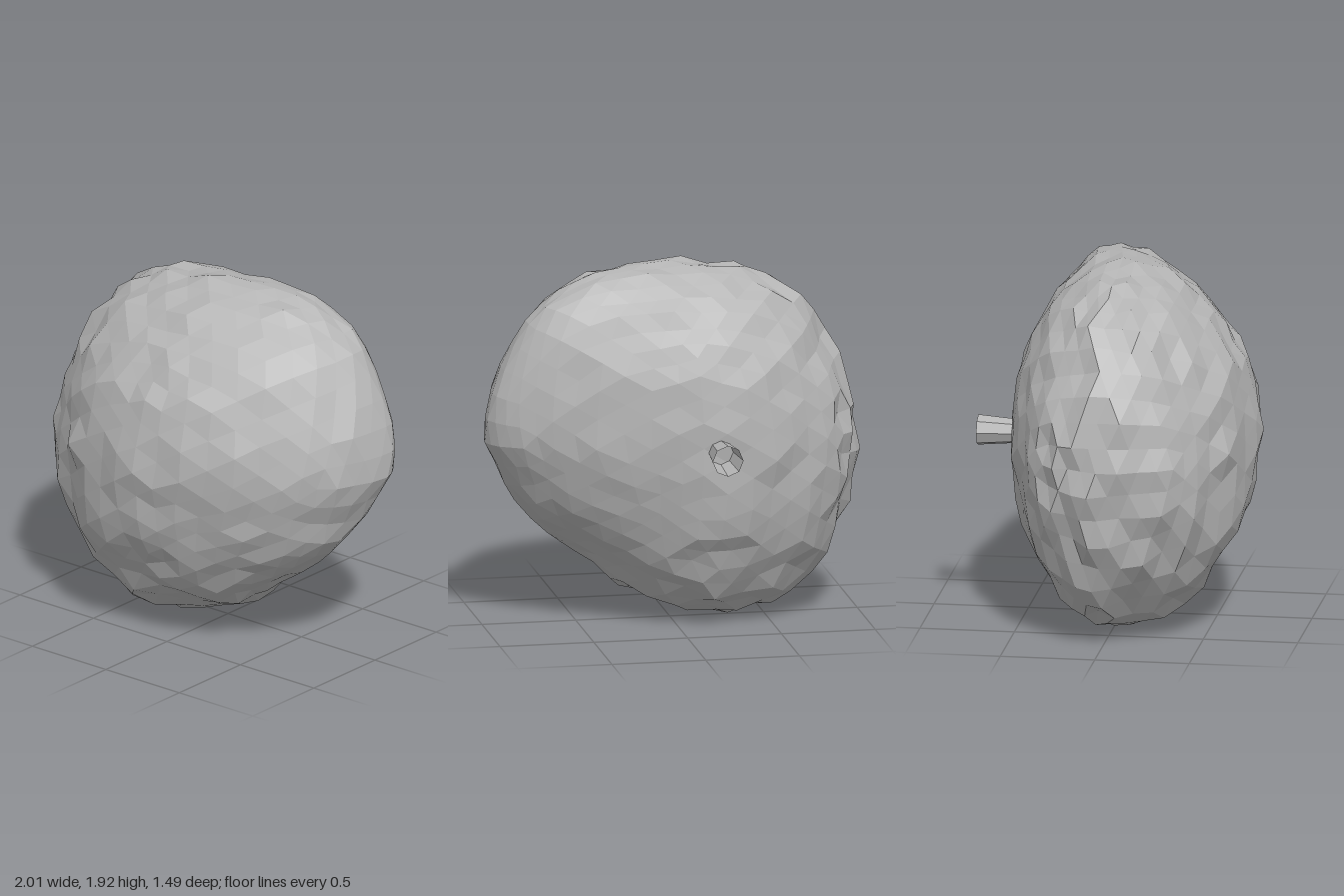
import * as THREE from 'three';
import { mergeVertices } from 'three/addons/utils/BufferGeometryUtils.js';

// Outline radius around (0, 1) in the front plane, one value every 15 degrees from +x
const OUTLINE = [1.0, 1.01, 1.0, 1.015, 0.985, 0.92, 0.905, 0.915, 0.95, 0.975, 0.955, 0.965,
  0.985, 1.0, 1.03, 1.07, 1.075, 1.02, 0.925, 0.87, 0.81, 0.81, 0.865, 0.91];

function outlineRadius(angle) {
  const t = ((angle / (Math.PI * 2) + 1) % 1) * 24;
  const i = Math.floor(t);
  return THREE.MathUtils.lerp(OUTLINE[i % 24], OUTLINE[(i + 1) % 24], t - i);
}

// Repeatable value in -1..1 for each vertex number
function hash(i) {
  const s = Math.sin(i * 12.9898 + 4.1) * 43758.5453;
  return (s - Math.floor(s)) * 2 - 1;
}

// Move a unit-sphere point onto the flattened, lopsided boulder
function shapeRock(d, i) {
  const r = outlineRadius(Math.atan2(d.y, d.x));
  const right = Math.max(0, d.x);
  const up = Math.max(0, d.y);
  const pole = d.z * d.z;
  const front = d.z > 0;

  // Rougher on the left and below, smoother on the upper right
  const rough = THREE.MathUtils.clamp(0.75 - 0.45 * d.x - 0.15 * d.y, 0.3, 1);
  const bump = 1 + rough * 0.032 * hash(i);

  // Front is deeper than the back; the sharp right rim leans back at the top
  const depth = front
    ? 0.735 * (1 - 0.1 * right) * (1 - 0.22 * up * up)
    : 0.555 * (1 - 0.27 * right);
  const lean = d.y > 0 ? 0.14 : 0.26;
  const rim = -0.1 * right * right - lean * right * d.y * (1 - pole);
  return new THREE.Vector3(
    d.x * r * bump - (front ? 0.03 : 0.08) * pole,
    1 + d.y * r * bump + 0.02 * pole,
    d.z * depth * bump + rim);
}

export function createModel() {
  const model = new THREE.Group();
  const stone = new THREE.MeshStandardMaterial({ color: 0xb4b4b4, flatShading: true });
  stone.name = 'stone grey';
  stone.side = THREE.DoubleSide;

  // Boulder, with shared corners so the bumps stay joined
  const sphere = new THREE.IcosahedronGeometry(1, 7);
  sphere.deleteAttribute('uv');
  sphere.deleteAttribute('normal');
  const rockGeo = mergeVertices(sphere, 1e-4);
  const pos = rockGeo.attributes.position;
  const d = new THREE.Vector3();
  for (let i = 0; i < pos.count; i++) {
    const p = shapeRock(d.fromBufferAttribute(pos, i).normalize(), i);
    pos.setXYZ(i, p.x, p.y, p.z);
  }
  rockGeo.computeVertexNormals();
  rockGeo.computeBoundingBox();
  const rock = new THREE.Mesh(rockGeo, stone);
  rock.name = 'rock';
  rock.position.y = -rockGeo.boundingBox.min.y;
  model.add(rock);

  // Open flared nozzle on the back
  const nozzle = new THREE.Mesh(new THREE.CylinderGeometry(0.06, 0.082, 0.26, 8, 1, true), stone);
  nozzle.name = 'nozzle';
  nozzle.rotation.x = Math.PI / 2;
  nozzle.position.set(-0.17, 1.0, -0.61);
  model.add(nozzle);

  return model;
}
